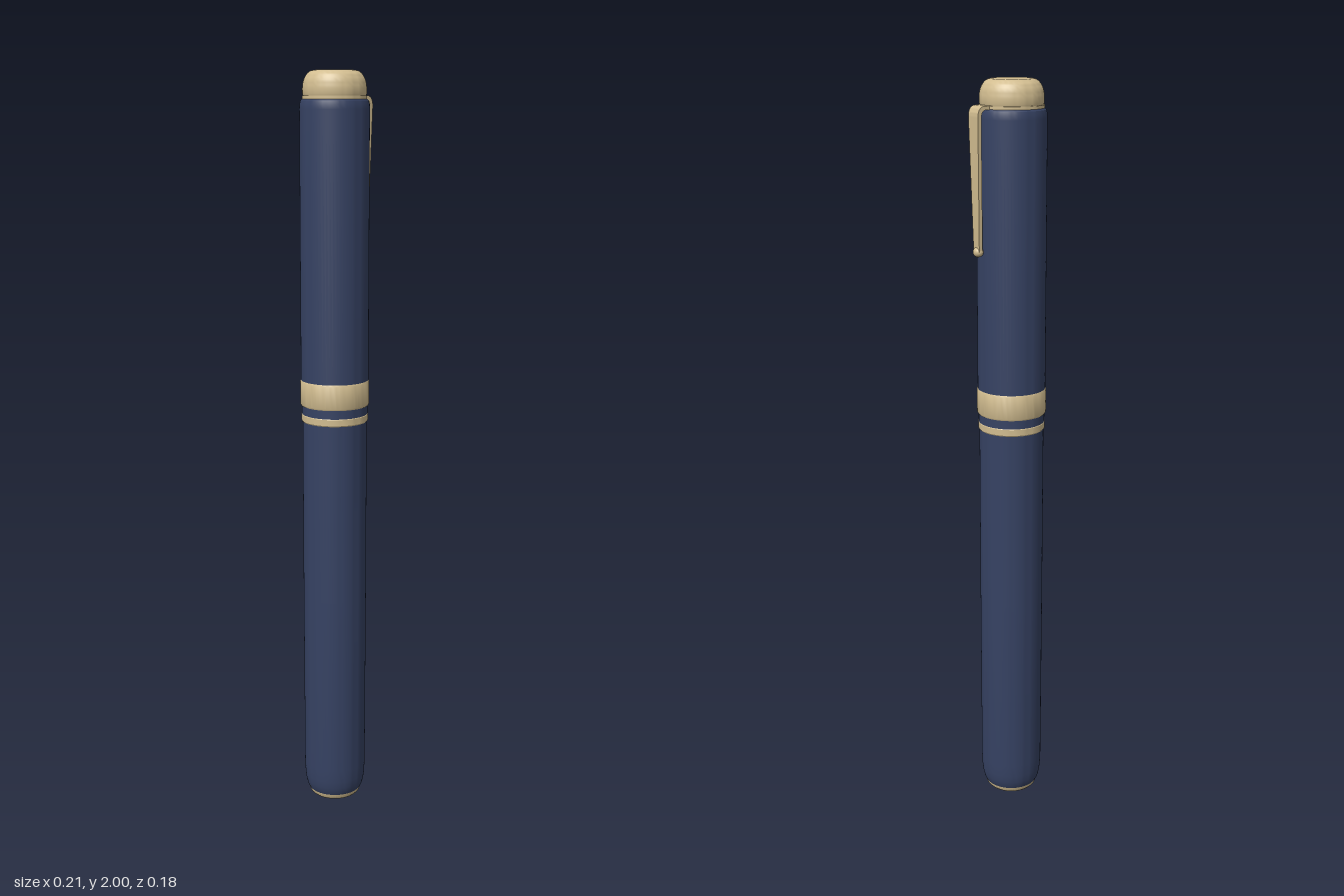
import * as THREE from 'three';
import { toCreasedNormals } from 'three/addons/utils/BufferGeometryUtils.js';

const AXIS_X = -0.012; // the clip offsets the barrel from the middle

export function createModel() {
  const pen = new THREE.Group();
  pen.name = 'fountainPen';

  const navy = new THREE.MeshStandardMaterial({ color: 0x364263 });
  navy.name = 'navy lacquer';
  const gold = new THREE.MeshStandardMaterial({ color: 0xd2bd90 });
  gold.name = 'pale gold';

  const add = (name, geometry, material) => {
    const mesh = new THREE.Mesh(geometry, material);
    mesh.name = name;
    pen.add(mesh);
    return mesh;
  };

  // Turned part: profile of [radius, y] from bottom to top
  const turn = (name, material, profile) => {
    const points = profile.map(([r, y]) => new THREE.Vector2(r, y));
    const geometry = toCreasedNormals(new THREE.LatheGeometry(points, 64), 0.5);
    add(name, geometry, material).position.x = AXIS_X;
  };

  // Barrel and its end
  turn('barrelEnd', gold, [[0, 0], [0.05, 0.002], [0.064, 0.006], [0.07, 0.012], [0.073, 0.022], [0, 0.022]]);
  turn('barrel', navy, [
    [0, 0.02], [0.072, 0.02], [0.077, 0.03], [0.081, 0.045], [0.0835, 0.065], [0.085, 0.1],
    [0.086, 0.6], [0.086, 1.095], [0, 1.095],
  ]);

  // Bands where cap meets barrel
  turn('lowerBand', gold, [[0, 1.093], [0.087, 1.093], [0.089, 1.096], [0.089, 1.112], [0.087, 1.115], [0, 1.115]]);
  turn('capLip', navy, [[0, 1.113], [0.088, 1.113], [0.088, 1.139], [0, 1.139]]);
  turn('wideBand', gold, [[0, 1.137], [0.09, 1.137], [0.092, 1.141], [0.092, 1.201], [0.09, 1.205], [0, 1.205]]);

  // Cap
  turn('cap', navy, [
    [0, 1.2], [0.09, 1.2], [0.09, 1.905], [0.0895, 1.916], [0.087, 1.925], [0.083, 1.929], [0, 1.929],
  ]);
  turn('clipRing', gold, [[0, 1.927], [0.083, 1.927], [0.083, 1.937], [0, 1.937]]);

  // Domed finial with a flat top
  const dome = [[0, 1.936], [0.08, 1.936], [0.082, 1.942]];
  for (let i = 0; i <= 10; i++) {
    const a = (i / 10) * Math.PI / 2;
    dome.push([0.052 + 0.03 * Math.cos(a), 1.955 + 0.045 * Math.sin(a)]);
  }
  dome.push([0, 2]);
  turn('finial', gold, dome);

  // Clip: bent strip seen from the side, narrowing toward its tip
  const side = new THREE.Shape();
  side.moveTo(0.055, 1.938);
  side.lineTo(0.082, 1.938);
  side.quadraticCurveTo(0.101, 1.936, 0.101, 1.91);
  side.lineTo(0.094, 1.575);
  side.lineTo(0.084, 1.575);
  side.lineTo(0.091, 1.905);
  side.quadraticCurveTo(0.091, 1.927, 0.08, 1.928);
  side.lineTo(0.055, 1.928);
  side.closePath();
  const strip = new THREE.ExtrudeGeometry(side, { depth: 0.046, bevelEnabled: false, curveSegments: 10 });
  strip.translate(0, 0, -0.023);
  const p = strip.attributes.position;
  for (let i = 0; i < p.count; i++) {
    const t = THREE.MathUtils.clamp((1.92 - p.getY(i)) / 0.345, 0, 1);
    p.setZ(i, p.getZ(i) * (1 - 0.4 * t));
  }
  add('clip', toCreasedNormals(strip, 0.6), gold);

  // Rounded bead at the clip tip
  const bead = add('clipBead', new THREE.SphereGeometry(0.013, 24, 16), gold);
  bead.position.set(0.089, 1.576, 0);
  bead.scale.z = 1.15;

  return pen;
}
